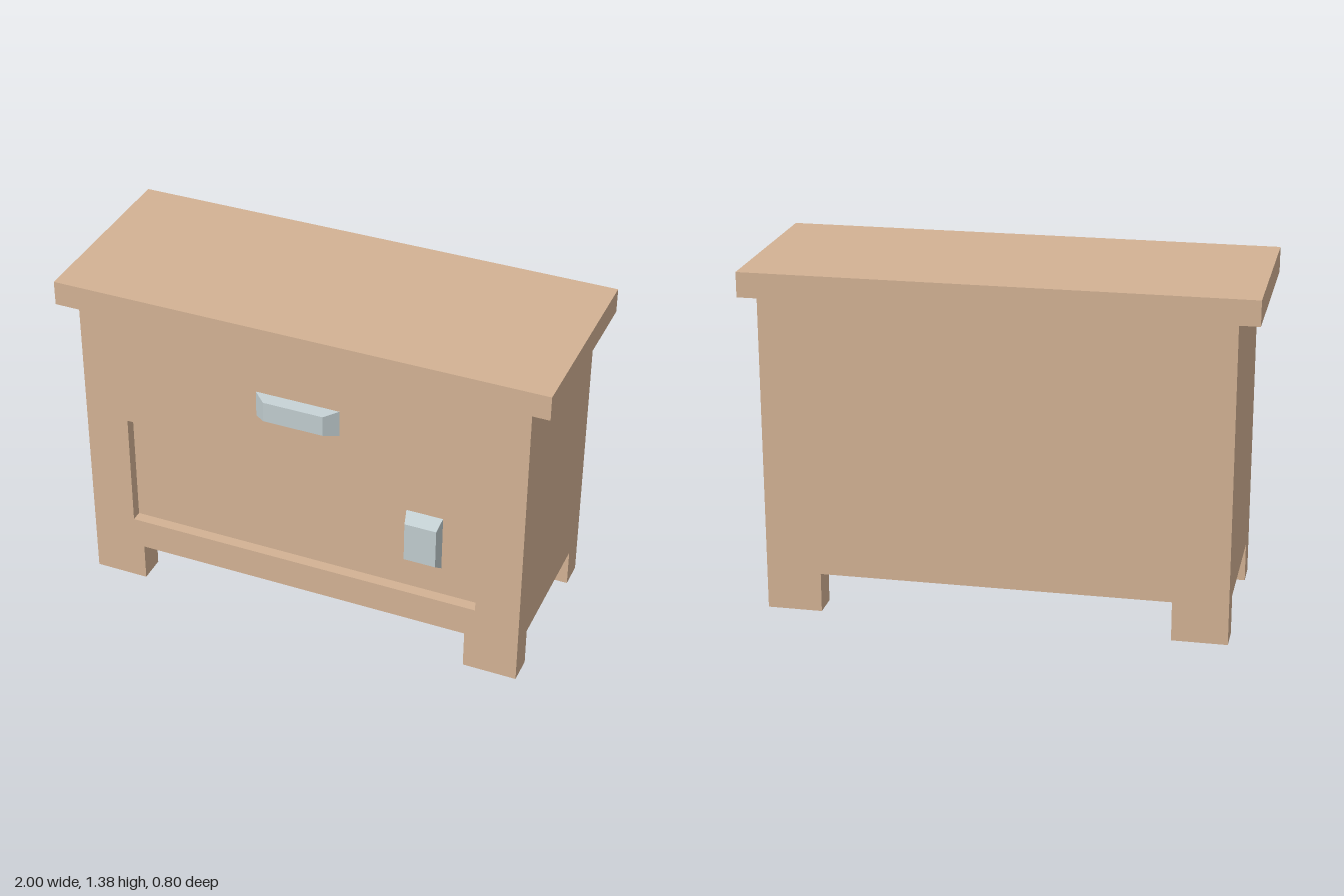
import * as THREE from 'three';

const wood = new THREE.MeshStandardMaterial({ color: 0xd3b294, flatShading: true });
const metal = new THREE.MeshStandardMaterial({ color: 0xc0cccf, flatShading: true });

function add(group, name, geometry, material) {
  const mesh = new THREE.Mesh(geometry, material);
  mesh.name = name;
  group.add(mesh);
  return mesh;
}

// Box given by its lower and upper limits on each axis
function box(x0, x1, y0, y1, z0, z1) {
  return new THREE.BoxGeometry(x1 - x0, y1 - y0, z1 - z0)
    .translate((x0 + x1) / 2, (y0 + y1) / 2, (z0 + z1) / 2);
}

// Upright slab with two legs cut into its lower edge
function leggedShape() {
  return new THREE.Shape([
    [-0.92, 0], [-0.7, 0], [-0.7, 0.16], [0.7, 0.16],
    [0.7, 0], [0.92, 0], [0.92, 1.28], [-0.92, 1.28],
  ].map(([x, y]) => new THREE.Vector2(x, y)));
}

function slab(shape, z0, z1) {
  return new THREE.ExtrudeGeometry(shape, { depth: z1 - z0, bevelEnabled: false }).translate(0, 0, z0);
}

// Box whose front face is replaced by a smaller rectangle [x0, x1, y0, y1]
function taperedHandle(base, front, z0, z1) {
  const geometry = box(...base, z0, z1);
  const p = geometry.attributes.position;
  const [cx, cy] = [(base[0] + base[1]) / 2, (base[2] + base[3]) / 2];
  const mid = (z0 + z1) / 2;
  for (let i = 0; i < p.count; i++) {
    if (p.getZ(i) < mid) continue;
    p.setX(i, p.getX(i) < cx ? front[0] : front[1]);
    p.setY(i, p.getY(i) < cy ? front[2] : front[3]);
  }
  geometry.computeVertexNormals();
  return geometry;
}

export function createModel() {
  const model = new THREE.Group();
  model.name = 'nightstand';

  // Front frame with legs and the door opening
  const frontShape = leggedShape();
  frontShape.holes.push(new THREE.Path([
    [-0.74, 0.29], [-0.74, 0.78], [0.74, 0.78], [0.74, 0.29],
  ].map(([x, y]) => new THREE.Vector2(x, y))));
  add(model, 'frontFrame', slab(frontShape, 0.245, 0.355), wood);

  // Recessed door panel
  add(model, 'doorPanel', box(-0.74, 0.74, 0.29, 0.78, 0.245, 0.31), wood);

  // Carcass between the front and back slabs
  add(model, 'carcass', box(-0.92, 0.92, 0.16, 1.28, -0.29, 0.245), wood);
  add(model, 'backPanel', slab(leggedShape(), -0.4, -0.29), wood);

  // Overhanging top, flush at the back
  add(model, 'tabletop', box(-1, 1, 1.28, 1.38, -0.4, 0.392), wood);

  // Handles
  add(model, 'drawerHandle',
    taperedHandle([-0.175, 0.17, 0.96, 1.07], [-0.125, 0.12, 0.975, 1.06], 0.355, 0.4), metal);
  add(model, 'doorHandle',
    taperedHandle([0.43, 0.58, 0.415, 0.655], [0.44, 0.57, 0.45, 0.62], 0.31, 0.355), metal);

  return model;
}
